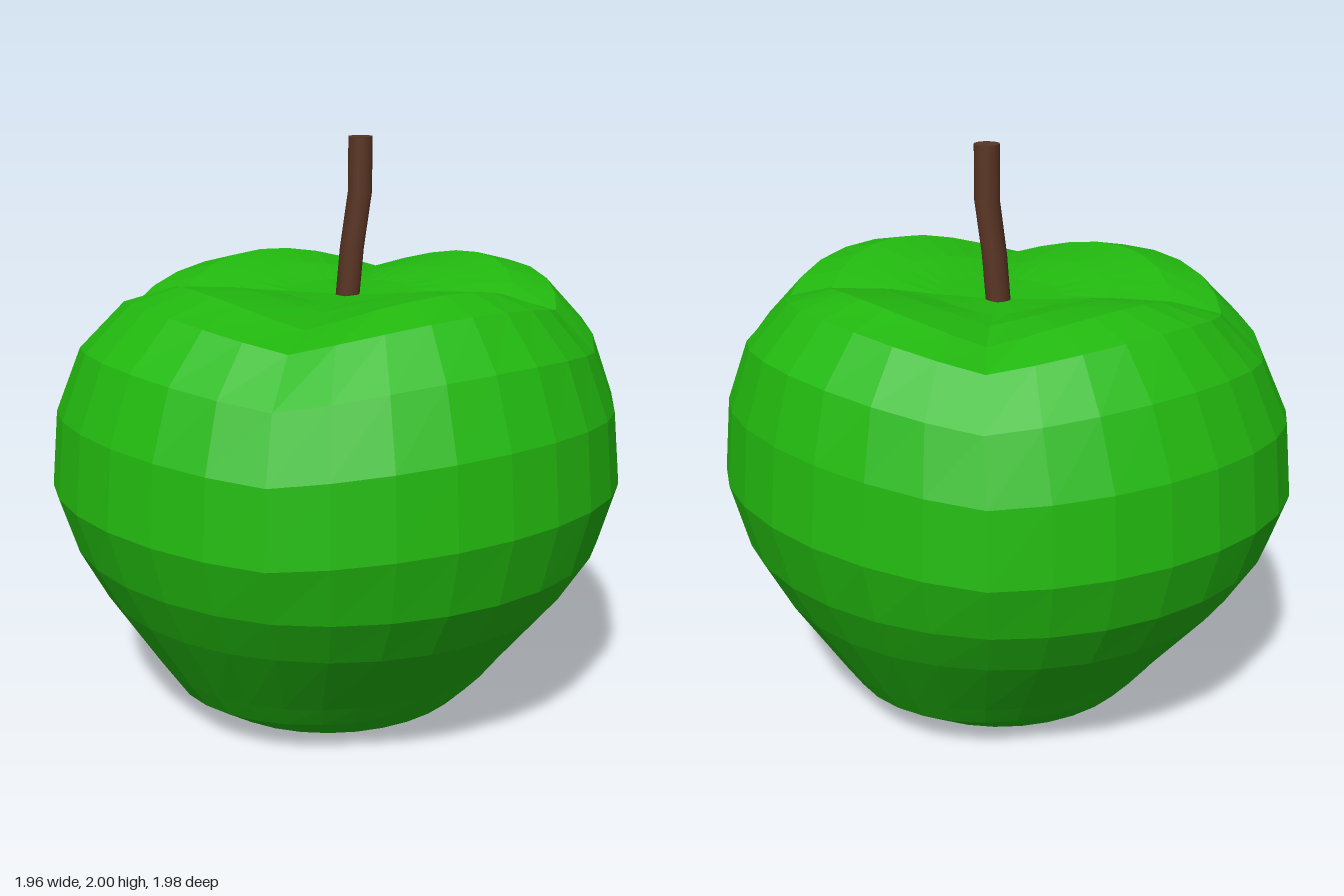
import * as THREE from 'three';

const SIDES = 32;

// Cross-sections from bottom to top: radius x, radius z, height, depth of the four
// diagonal grooves, centre x, centre z.
const RINGS = [
  [0, 0, 0, 0, 0, 0],
  [0.2, 0.2, 0.01, 0, 0, 0],
  [0.35, 0.35, 0.025, 0, 0, 0],
  [0.49, 0.46, 0.06, 0, 0, 0],
  [0.6, 0.52, 0.13, 0, 0, 0],
  [0.66, 0.59, 0.22, 0, 0, 0],
  [0.83, 0.82, 0.49, 0, 0, 0],
  [0.92, 0.93, 0.665, 0.01, 0, 0],
  [0.98, 0.99, 0.88, 0.035, 0, 0],
  [0.955, 0.965, 1.145, 0.05, 0, 0],
  [0.88, 0.87, 1.365, 0.07, 0.01, 0],
  [0.735, 0.735, 1.515, 0.08, 0.02, 0],
  [0.575, 0.575, 1.557, 0.085, 0.035, 0],
  [0.37, 0.37, 1.527, 0.045, 0.05, -0.01],
  [0.21, 0.21, 1.485, 0.01, 0.06, -0.02],
  [0, 0, 1.465, 0, 0.06, -0.02],
];

// Fruit skin lofted through the rings; lobes face the four sides
function fruitGeometry() {
  const pos = [], index = [];
  for (const [rx, rz, y, groove, cx, cz] of RINGS) {
    for (let j = 0; j < SIDES; j++) {
      const a = (j / SIDES) * Math.PI * 2;
      const x = cx + rx * Math.sin(a), z = cz + rz * Math.cos(a);
      const dip = groove * (1 - Math.abs(Math.cos(2 * a)));
      const tilt = y > 0.8 ? 0.016 * (x + z) : 0; // slight lean of the shoulders
      pos.push(x, y - dip + tilt, z);
    }
  }
  const last = RINGS.length - 2;
  for (let i = 0; i <= last; i++) {
    for (let j = 0; j < SIDES; j++) {
      const k = (j + 1) % SIDES;
      const a = i * SIDES + j, b = i * SIDES + k, c = b + SIDES, d = a + SIDES;
      if (i > 0) index.push(a, b, c);
      if (i < last) index.push(a, c, d);
      else index.push(a, b, c);
      if (i === 0) index.push(a, c, d);
    }
  }
  const geo = new THREE.BufferGeometry();
  geo.setAttribute('position', new THREE.Float32BufferAttribute(pos, 3));
  geo.setIndex(index);
  geo.computeVertexNormals();
  return geo;
}

// Bent stem: a cylinder whose levels slide sideways
function stemGeometry() {
  const bottom = 1.44, height = 0.56, levels = 3;
  const shiftX = [0.06, 0.085, 0.123, 0.13];
  const shiftZ = [-0.02, -0.028, -0.037, -0.045];
  const geo = new THREE.CylinderGeometry(0.042, 0.042, height, 16, levels);
  geo.translate(0, bottom + height / 2, 0);
  const p = geo.attributes.position;
  for (let i = 0; i < p.count; i++) {
    const level = Math.round(((p.getY(i) - bottom) / height) * levels);
    p.setX(i, p.getX(i) + shiftX[level]);
    p.setZ(i, p.getZ(i) + shiftZ[level]);
  }
  return geo;
}

export function createModel() {
  const model = new THREE.Group();
  model.name = 'apple';

  const fruit = new THREE.Mesh(
    fruitGeometry(),
    new THREE.MeshStandardMaterial({ color: 0x22b80f, flatShading: true })
  );
  fruit.name = 'fruit';

  const stem = new THREE.Mesh(
    stemGeometry(),
    new THREE.MeshStandardMaterial({ color: 0x5a3524 })
  );
  stem.name = 'stem';

  model.add(fruit, stem);
  return model;
}
